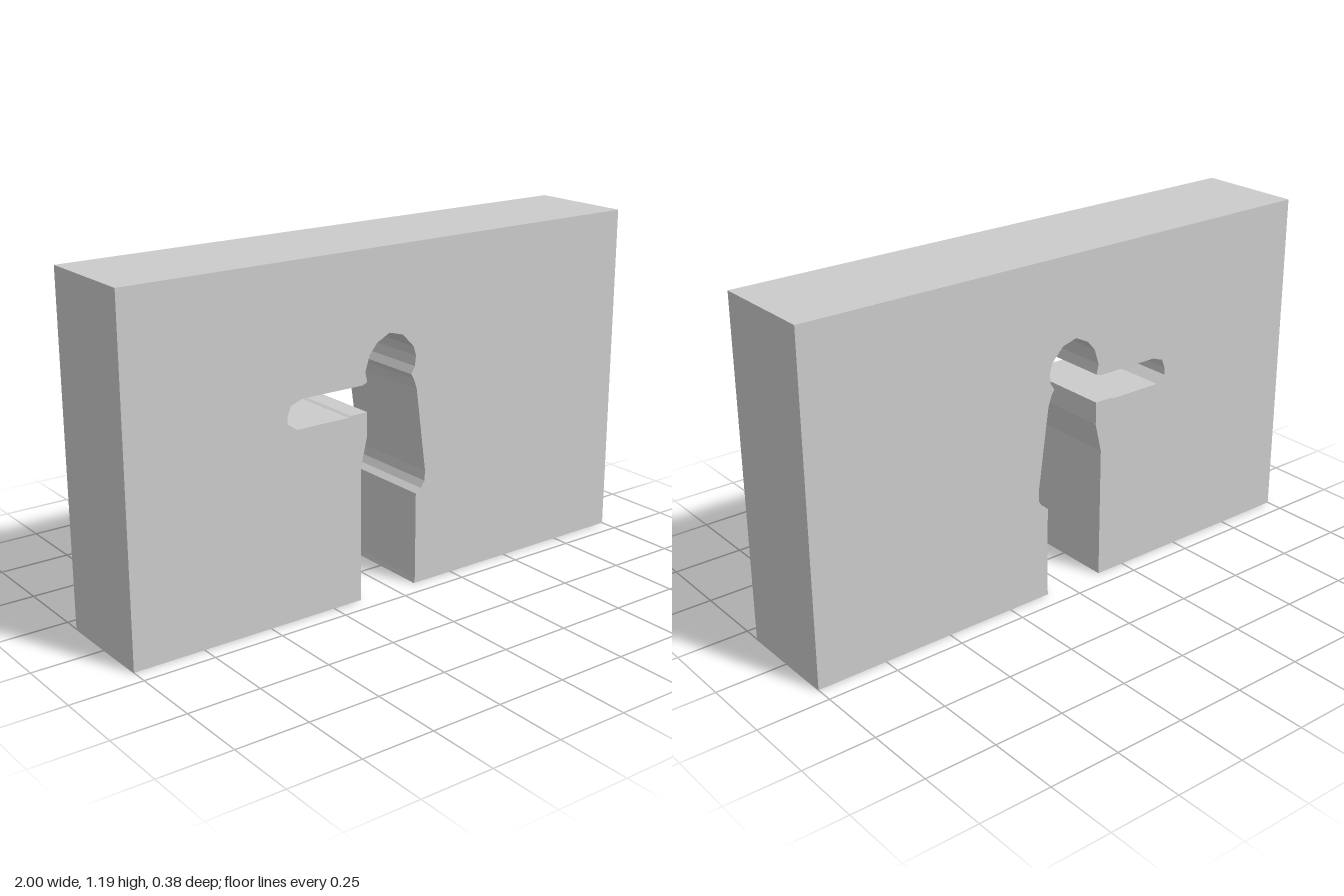
import * as THREE from 'three';

const WIDTH = 2, HEIGHT = 1.19, DEPTH = 0.375;

// Figure-shaped opening, from its right foot over the head to its left foot
const opening = [
  // leg and hip
  [-0.14, 0], [-0.14, 0.47], [-0.115, 0.575], [-0.115, 0.655],
  // outstretched arm
  [-0.18, 0.655], [-0.19, 0.65], [-0.39, 0.65], [-0.425, 0.675], [-0.425, 0.7],
  [-0.412, 0.733], [-0.37, 0.748], [-0.135, 0.748], [-0.115, 0.755],
  // head
  [-0.123, 0.79], [-0.105, 0.845], [-0.075, 0.88], [-0.025, 0.905],
  [0.03, 0.89], [0.075, 0.843], [0.085, 0.81], [0.081, 0.775], [0.066, 0.75],
  // lowered arm and leg
  [0.078, 0.73], [0.09, 0.695], [0.13, 0.4], [0.128, 0.365], [0.113, 0.342],
  [0.091, 0.327], [0.091, 0.02], [0.087, 0],
];

export function createModel() {
  const group = new THREE.Group();
  group.name = 'wallWithFigureOpening';

  // Solid wall, with the opening running through it and out at the bottom
  const outline = [
    [-WIDTH / 2, 0], ...opening,
    [WIDTH / 2, 0], [WIDTH / 2, HEIGHT], [-WIDTH / 2, HEIGHT],
  ];
  const shape = new THREE.Shape(outline.map(([x, y]) => new THREE.Vector2(x, y)));
  const geometry = new THREE.ExtrudeGeometry(shape, { depth: DEPTH, bevelEnabled: false });
  geometry.translate(0, 0, -DEPTH / 2);

  const wall = new THREE.Mesh(
    geometry,
    new THREE.MeshStandardMaterial({ color: 0xcccccc, flatShading: true })
  );
  wall.name = 'wall';
  group.add(wall);
  return group;
}
